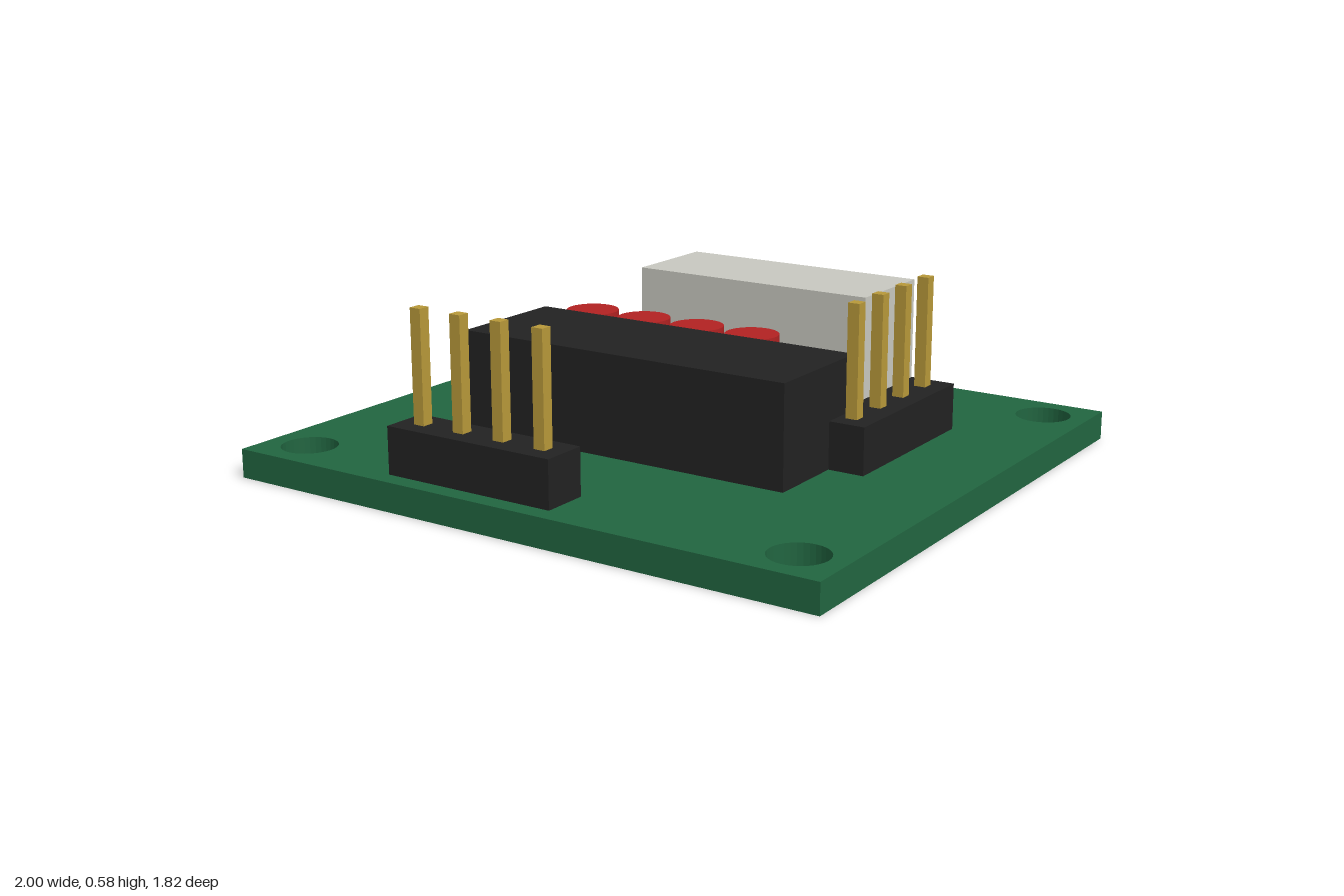
import * as THREE from 'three';

const material = (name, color) => {
  const m = new THREE.MeshStandardMaterial({ color });
  m.name = name;
  return m;
};

export function createModel() {
  const green = material('board green', 0x216540);
  const black = material('plastic black', 0x222222);
  const gold = material('pin gold', 0xb8993a);
  const red = material('capacitor red', 0xb22222);
  const grey = material('connector grey', 0xc8c8c0);

  const model = new THREE.Group();
  model.name = 'circuitBoard';
  const TOP = 0.09; // upper face of the board

  const add = (parent, name, geometry, mat) => {
    const mesh = new THREE.Mesh(geometry, mat);
    mesh.name = name;
    parent.add(mesh);
    return mesh;
  };

  // Box given by its centre on the board, its footprint and its height range
  const block = (parent, name, mat, x, z, w, d, y0, y1) =>
    add(parent, name, new THREE.BoxGeometry(w, y1 - y0, d), mat).position.set(x, (y0 + y1) / 2, z);

  // Board with four mounting holes
  const W = 1, D = 0.912;
  const outline = new THREE.Shape([
    new THREE.Vector2(-W, -D), new THREE.Vector2(W, -D),
    new THREE.Vector2(W, D), new THREE.Vector2(-W, D),
  ]);
  for (const sx of [-1, 1]) {
    for (const sz of [-1, 1]) {
      const hole = new THREE.Path();
      hole.absarc(sx * 0.857, sz * 0.771, 0.087, 0, Math.PI * 2, true);
      outline.holes.push(hole);
    }
  }
  const boardGeometry = new THREE.ExtrudeGeometry(outline, { depth: TOP, bevelEnabled: false, curveSegments: 16 });
  boardGeometry.rotateX(-Math.PI / 2);
  add(model, 'board', boardGeometry, green);

  // Main chip and rear connector
  block(model, 'chip', black, 0, 0.17, 1.14, 0.4, TOP, 0.407);
  block(model, 'rearConnector', grey, -0.005, -0.54, 0.846, 0.332, TOP, 0.493);

  // Row of capacitors
  for (let i = 0; i < 4; i++) {
    const height = 0.38 - TOP;
    add(model, 'capacitor', new THREE.CylinderGeometry(0.086, 0.086, height, 32), red)
      .position.set(-0.487 + i * 0.205, TOP + height / 2, -0.175);
  }

  // Four-pin headers, built along x and turned where needed
  const header = (name, x, z, turn) => {
    const group = new THREE.Group();
    group.name = name;
    block(group, 'headerBase', black, 0, 0, 0.58, 0.145, TOP, 0.236);
    for (let i = 0; i < 4; i++) {
      block(group, 'pin', gold, (i - 1.5) * 0.145, 0, 0.037, 0.037, TOP + 0.01, 0.58);
    }
    group.position.set(x, 0, z);
    group.rotation.y = turn;
    model.add(group);
  };
  header('frontHeader', -0.17, 0.782, 0);
  header('sideHeader', 0.612, -0.177, Math.PI / 2);

  return model;
}
